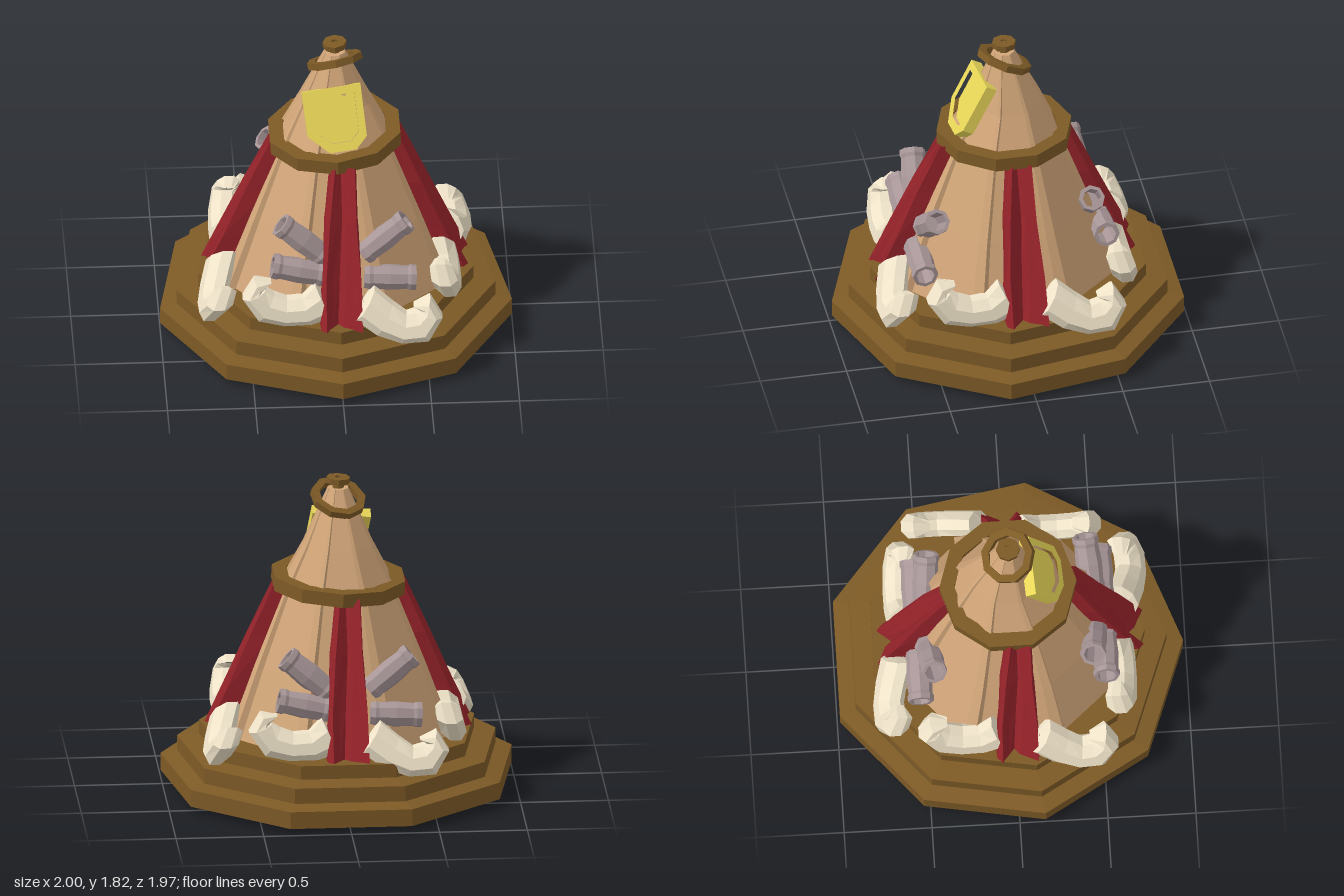
import * as THREE from 'three';

const mat = (color, side = THREE.FrontSide) => new THREE.MeshStandardMaterial({ color, side, flatShading: true });
const wood = mat(0x7d5a26), hide = mat(0xd2a679), red = mat(0x96232a, THREE.DoubleSide);
const bone = mat(0xeee2c8), gold = mat(0xe8d658), mauve = mat(0xa89698);

const V = (x, y, z) => new THREE.Vector3(x, y, z);

function add(parent, name, geometry, material) {
  const mesh = new THREE.Mesh(geometry, material);
  mesh.name = name;
  parent.add(mesh);
  return mesh;
}

// Skin between rows of points
function loft(rows, closed) {
  const n = rows[0].length, pos = [], index = [];
  rows.forEach(row => row.forEach(p => pos.push(p.x, p.y, p.z)));
  for (let i = 0; i < rows.length - 1; i++) {
    for (let j = 0; j < (closed ? n : n - 1); j++) {
      const k = (j + 1) % n;
      const a = i * n + j, b = i * n + k, c = b + n, d = a + n;
      index.push(a, b, c, a, c, d);
    }
  }
  const g = new THREE.BufferGeometry();
  g.setAttribute('position', new THREE.Float32BufferAttribute(pos, 3));
  g.setIndex(index);
  g.computeVertexNormals();
  return g;
}

const lathe = (pts, sides) => new THREE.LatheGeometry(pts.map(p => new THREE.Vector2(...p)), sides);
const hoop = (inner, outer, h, sides) =>
  lathe([[inner, -h / 2], [outer, -h / 2], [outer, h / 2], [inner, h / 2], [inner, -h / 2]], sides);

// Hide cover: eight wide panels parted by narrow seams; profile is [radius, y, z shift]
function coverGeometry() {
  const profile = [[0.685, 0.3, 0], [0.51, 0.75, 0], [0.322, 1.2, -0.012], [0.205, 1.43, -0.026],
    [0.06, 1.755, -0.01], [0.001, 1.755, -0.01]];
  return loft(profile.map(([r, y, dz]) => {
    const row = [];
    for (let i = 0; i < 8; i++) {
      const a = (i + 0.5) * Math.PI / 4;
      [[-0.07, 1], [0.03, 1.02], [0.06, 0.96]].forEach(([da, s]) =>
        row.push(V(Math.sin(a + da) * r * s, y, Math.cos(a + da) * r * s + dz)));
    }
    return row;
  }), true);
}

// Cloth hanging down one side in a few broad folds: rows are [y, z, half width, fold depth]
function clothGeometry() {
  const rows = [[0.34, 0.72, 0.125, 0.045], [0.6, 0.61, 0.115, 0.035], [0.9, 0.485, 0.095, 0.03], [1.2, 0.355, 0.07, 0.025]];
  const folds = [[-1, -3], [-1, 0.2], [-0.75, 0.8], [-0.4, -0.2], [-0.1, -1], [0.15, -0.2], [0.5, 0.3], [0.9, 0.9], [1, -3]];
  return loft(rows.map(([y, z, w, depth], r) =>
    folds.map(([u, p], i) => V(0.005 + r * 0.008 + u * w + 0.008 * Math.sin(r * 2 + i), y, z + p * depth))), false);
}

// Curled tusk leaning back by a slope: spine points are [x, y, half height]
function tuskGeometry(spine, z0, slope) {
  const pts = spine.map(p => V(p[0], p[1], 0));
  const rows = spine.map(([x, y, w], i) => {
    const t = pts[Math.min(i + 1, pts.length - 1)].clone().sub(pts[Math.max(i - 1, 0)]).normalize();
    const nrm = V(-t.y, t.x, 0), depth = Math.min(0.08, w + 0.03);
    return Array.from({ length: 8 }, (_, j) => {
      const a = (j + 0.5) / 8 * Math.PI * 2;
      const p = V(x, y, 0).addScaledVector(nrm, Math.cos(a) * w * 1.08);
      p.z = z0 - slope * (p.y - 0.45) + Math.sin(a) * depth;
      return p;
    });
  });
  return loft(rows, true);
}

const highTusk = [[-0.085, 0.475, 0.001], [-0.09, 0.475, 0.105], [-0.19, 0.42, 0.08], [-0.31, 0.415, 0.075],
  [-0.42, 0.445, 0.085], [-0.49, 0.525, 0.068], [-0.465, 0.575, 0.04], [-0.39, 0.59, 0.002]];
const lowTusk = [[0.13, 0.475, 0.001], [0.14, 0.47, 0.095], [0.25, 0.39, 0.09], [0.36, 0.34, 0.075],
  [0.46, 0.35, 0.085], [0.515, 0.415, 0.066], [0.495, 0.46, 0.042], [0.415, 0.455, 0.002]];

// Hollow eight-sided barrel from point a to its open end b
function barrel(parent, a, b) {
  const d = b.clone().sub(a), L = d.length();
  const g = lathe([[0.001, 0], [0.066, 0], [0.074, 0.03], [0.068, 0.05], [0.075, L * 0.5], [0.068, L - 0.05],
    [0.076, L - 0.03], [0.073, L], [0.053, L], [0.05, L * 0.4], [0.001, L * 0.4]], 8);
  const m = add(parent, 'barrel', g, mauve);
  m.position.copy(a);
  m.quaternion.setFromUnitVectors(V(0, 1, 0), d.normalize());
}

// Framed shield leaning on the cover
function shield() {
  const group = new THREE.Group();
  group.name = 'shield';
  const outline = [[-0.195, 0.165], [0.14, 0.21], [0.17, -0.09], [0.11, -0.165], [-0.04, -0.185], [-0.165, -0.09]];
  const inner = outline.map(([x, y]) => new THREE.Vector2(x * 0.74, y * 0.74 + 0.005));
  const frame = new THREE.Shape(outline.map(p => new THREE.Vector2(...p)));
  frame.holes.push(new THREE.Path(inner));
  const rim = { depth: 0.065, bevelEnabled: false }, plate = { depth: 0.04, bevelEnabled: false };
  add(group, 'shieldFrame', new THREE.ExtrudeGeometry(frame, rim), gold);
  add(group, 'shieldPlate', new THREE.ExtrudeGeometry(new THREE.Shape(inner), plate), gold);
  group.position.set(0, 1.395, 0.16);
  group.rotation.x = -0.5;
  return group;
}

export function createModel() {
  const model = new THREE.Group();
  model.name = 'tent';

  // Stepped nine-sided base
  const base = add(model, 'base', lathe([[0.8, 0.005], [1.015, 0.04], [1.015, 0.14], [0.92, 0.16], [0.92, 0.25],
    [0.795, 0.265], [0.795, 0.345], [0.001, 0.345]], 9), wood);
  base.position.z = -0.03;
  const floor = add(model, 'floor', new THREE.CylinderGeometry(0.81, 0.81, 0.02, 9), hide);
  floor.position.set(0, 0.015, -0.03);

  add(model, 'cover', coverGeometry(), hide);

  // Hoops and cap
  const big = add(model, 'largeHoop', hoop(0.305, 0.39, 0.08, 10), wood);
  big.position.set(0, 1.203, -0.01);
  big.rotation.set(-0.01, 0, 0.055);
  const small = add(model, 'smallHoop', hoop(0.115, 0.16, 0.04, 9), wood);
  small.position.set(0, 1.69, -0.01);
  small.rotation.set(-0.42, 0, 0.2);
  const neck = add(model, 'neck', new THREE.CylinderGeometry(0.025, 0.035, 0.06, 8), wood);
  neck.position.set(0, 1.775, -0.01);
  const cap = add(model, 'capRing', hoop(0.02, 0.068, 0.033, 8), wood);
  cap.position.set(0, 1.8, -0.01);
  cap.rotation.z = 0.06;

  model.add(shield());

  // Cloths and tusks on four sides, barrels on front and back
  for (let i = 0; i < 4; i++) {
    const side = new THREE.Group();
    side.name = 'side' + (i + 1);
    side.rotation.y = i * Math.PI / 2;
    add(side, 'cloth', clothGeometry(), red);
    add(side, 'highTusk', tuskGeometry(highTusk, 0.615, 0.25), bone);
    add(side, 'lowTusk', tuskGeometry(lowTusk, 0.66, 0.45), bone);
    if (i % 2 === 0) {
      barrel(side, V(-0.08, 0.68, 0.48), V(-0.33, 0.89, 0.455));
      barrel(side, V(-0.08, 0.59, 0.53), V(-0.38, 0.66, 0.53));
      barrel(side, V(0.14, 0.69, 0.48), V(0.385, 0.89, 0.45));
      barrel(side, V(0.14, 0.57, 0.53), V(0.435, 0.555, 0.53));
    }
    model.add(side);
  }
  return model;
}
